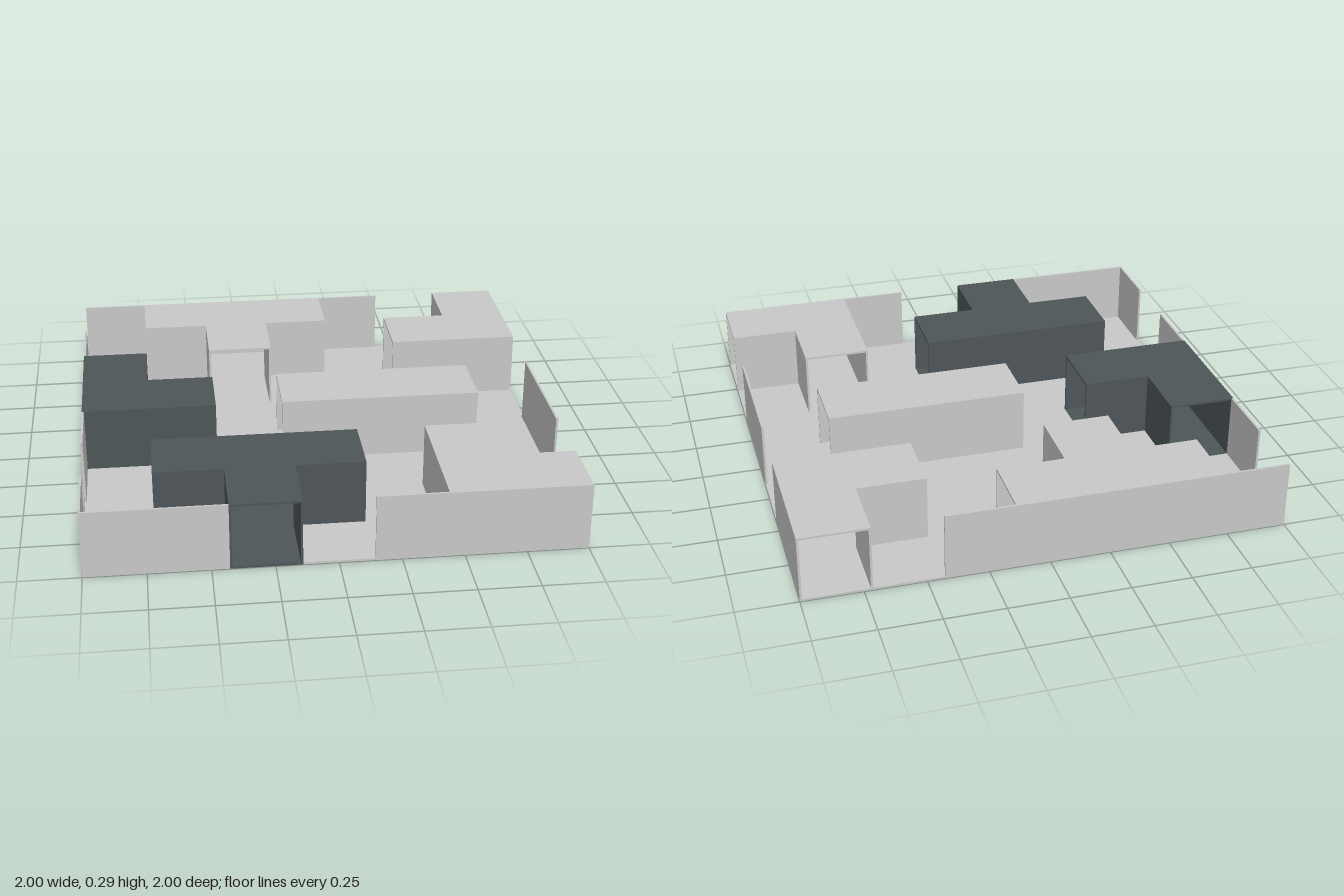
import * as THREE from 'three';
import { mergeGeometries } from 'three/addons/utils/BufferGeometryUtils.js';

const N = 7, C = 2 / N, T = 0.009; // grid count, cell size, sheet thickness
const SIDES = [[1, 0], [-1, 0], [0, 1], [0, -1]];
const mid = (i) => -1 + (i + 0.5) * C;

// box sheet lying over one grid cell
function slab(col, row, y, thick = T) {
  return new THREE.BoxGeometry(C, thick, C).translate(mid(col), y + thick / 2, mid(row));
}

// upright sheet just inside one side of a cell
function wall(col, row, dx, dz, height = C) {
  const off = C / 2 - T / 2;
  return new THREE.BoxGeometry(dx ? T : C, height, dz ? T : C)
    .translate(mid(col) + dx * off, height / 2, mid(row) + dz * off);
}

// roofed passage over a set of cells; every dead end is left open
function tunnel(cells) {
  const has = (c, r) => cells.some(([a, b]) => a === c && b === r);
  const parts = [];
  for (const [c, r] of cells) {
    parts.push(slab(c, r, C - T));
    const count = SIDES.filter(([dx, dz]) => has(c + dx, r + dz)).length;
    for (const [dx, dz] of SIDES) {
      const openEnd = count === 1 && has(c - dx, r - dz);
      if (!has(c + dx, r + dz) && !openEnd) parts.push(wall(c, r, dx, dz, C - T));
    }
  }
  return mergeGeometries(parts);
}

export function createModel() {
  const model = new THREE.Group();
  const material = (name, color) => {
    const m = new THREE.MeshStandardMaterial({ color });
    m.name = name;
    return m;
  };
  const light = material('light grey', 0xc8c8c8);
  const dark = material('dark slate', 0x4d5558);
  const dusty = material('dusty brown', 0x897979);
  const add = (name, geometry, mat) => {
    const mesh = new THREE.Mesh(geometry, mat);
    mesh.name = name;
    model.add(mesh);
  };

  // tunnels, as [column, row] cells counted from the back right corner
  const darkTee = [[1, 5], [2, 5], [3, 5], [2, 6]];
  const darkElbow = [[0, 2], [0, 3], [1, 3]];
  add('darkTeeTunnel', tunnel(darkTee), dark);
  add('darkElbowTunnel', tunnel(darkElbow), dark);
  add('backTeeTunnel', tunnel([[1, 0], [2, 0], [3, 0], [2, 1]]), light);
  add('backElbowTunnel', tunnel([[6, 0], [6, 1], [5, 1]]), light);
  add('frontElbowTunnel', tunnel([[5, 5], [5, 6], [6, 6]]), light);
  add('straightTunnel', tunnel([[3, 3], [4, 3], [5, 3]]), light);

  // floor, dark inside the dark tunnels
  const darkCells = [...darkTee, ...darkElbow];
  const lightFloor = [];
  for (let c = 0; c < N; c++) {
    for (let r = 0; r < N; r++) {
      if (!darkCells.some(([a, b]) => a === c && b === r)) lightFloor.push(slab(c, r, 0));
    }
  }
  add('floor', mergeGeometries(lightFloor), light);
  add('darkTunnelFloor', mergeGeometries(darkCells.map(([c, r]) => slab(c, r, 0))), dark);

  // brownish patches on the underside
  const patches = [[3, 5], [2, 6], [1, 3]].map(([c, r]) =>
    new THREE.PlaneGeometry(C, C).rotateX(Math.PI / 2).translate(mid(c), -0.001, mid(r)));
  add('undersidePatches', mergeGeometries(patches), dusty);

  // outer walls: cells along each edge that carry a sheet
  const edges = [
    ['frontWall', [[0, 6], [1, 6], [4, 6]], 0, 1],
    ['backWall', [[0, 0], [4, 0]], 0, -1],
    ['rightWall', [[0, 1], [0, 4], [0, 6]], -1, 0],
    ['leftWall', [[6, 3], [6, 4]], 1, 0],
  ];
  for (const [name, cells, dx, dz] of edges) {
    add(name, mergeGeometries(cells.map(([c, r]) => wall(c, r, dx, dz))), light);
  }
  return model;
}
